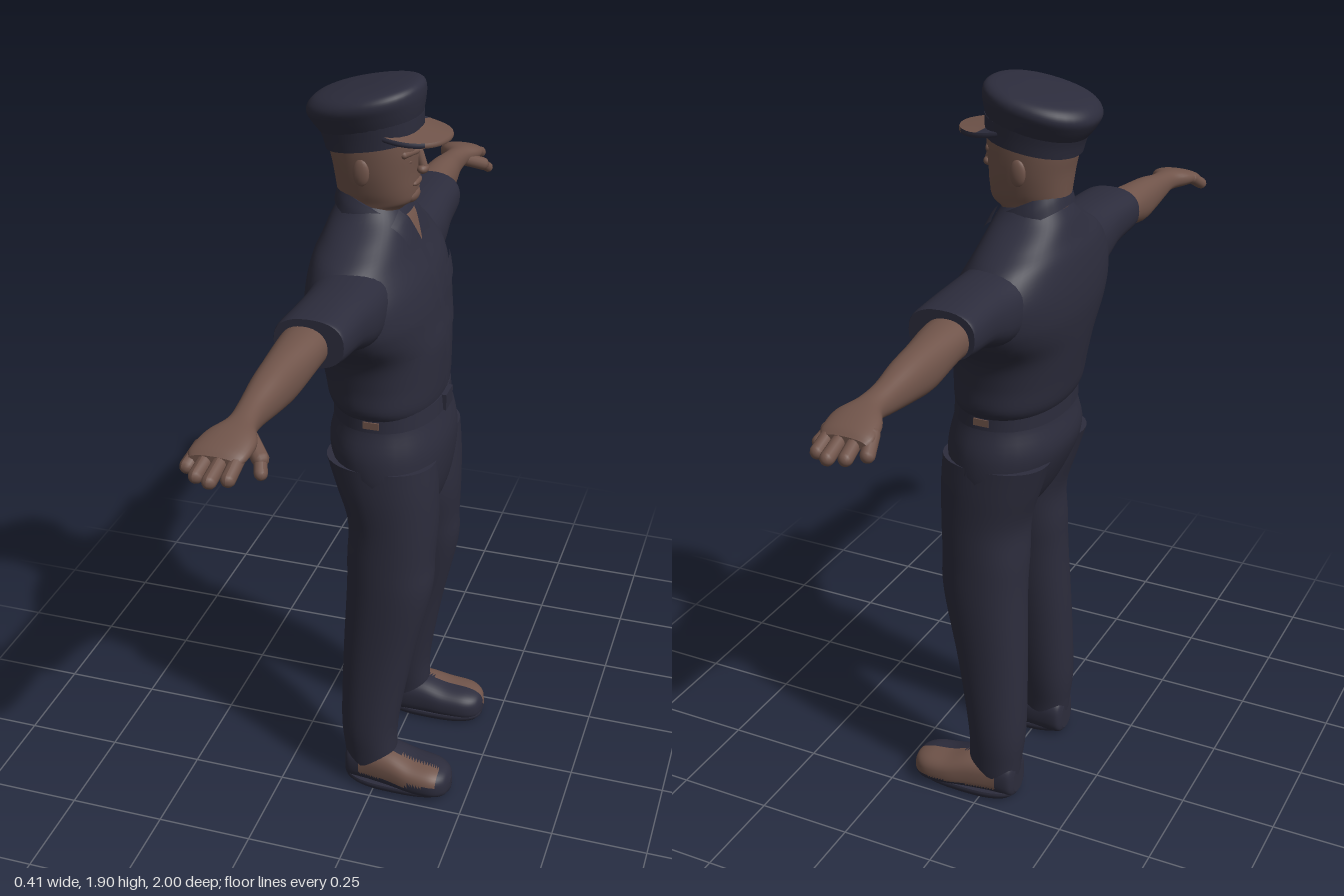
import * as THREE from 'three';

const cloth = new THREE.MeshStandardMaterial({ color: 0x2c2c3c });
cloth.name = 'navy cloth';
const skin = new THREE.MeshStandardMaterial({ color: 0x70544a });
skin.name = 'brown skin';

// Smooth interpolation of key rows at position f (0..rows-1)
function rowAt(keys, f) {
  const n = keys.length - 1, i = Math.min(Math.floor(f), n - 1), t = f - i;
  const k = (j) => keys[Math.max(0, Math.min(n, j))];
  return keys[0].map((_, c) => {
    const [a, b, d, e] = [k(i - 1)[c], k(i)[c], k(i + 1)[c], k(i + 2)[c]];
    return b + 0.5 * t * (d - a + t * (2 * a - 5 * b + 4 * d - e + t * (3 * (b - d) + e - a)));
  });
}

// Superellipse loft. Rows: [position, centreU, centreV, radiusU, radiusV]
function loft(keys, axis = 'y', { p = 2.2, seg = 32, steps = 5, tilt = 0 } = {}) {
  const pos = [], idx = [], rings = (keys.length - 1) * steps;
  const put = (t, u, v) => pos.push(...(axis === 'y' ? [u, t, v] : axis === 'x' ? [t, v, u] : [u, v, t]));
  const ring = (r) => {
    for (let j = 0; j < seg; j++) {
      const a = (j / seg) * Math.PI * 2, c = Math.cos(a), s = Math.sin(a);
      const du = Math.max(r[3], 0.001) * Math.sign(c) * Math.abs(c) ** (2 / p);
      const dv = Math.max(r[4], 0.001) * Math.sign(s) * Math.abs(s) ** (2 / p);
      put(r[0] + tilt * dv, r[1] + du, r[2] + dv);
    }
  };
  for (let i = 0; i <= rings; i++) ring(rowAt(keys, i / steps));
  for (let i = 0; i < rings; i++) for (let j = 0; j < seg; j++) {
    const a = i * seg + j, b = i * seg + (j + 1) % seg;
    idx.push(a, a + seg, b, b, a + seg, b + seg);
  }
  [keys[0], keys[keys.length - 1]].forEach((r, e) => {
    const base = pos.length / 3;
    ring(r);
    put(r[0], r[1], r[2]);
    for (let j = 0; j < seg; j++) {
      const a = base + j, b = base + (j + 1) % seg;
      idx.push(base + seg, ...(e ? [b, a] : [a, b]));
    }
  });
  // y-lofts wind outward as built, the other axes depend on handedness
  if (axis === 'z' || axis === 'x') { /* checked by volume below */ }
  const geo = new THREE.BufferGeometry();
  geo.setAttribute('position', new THREE.Float32BufferAttribute(pos, 3));
  const P = (i) => new THREE.Vector3().fromArray(pos, i * 3);
  let vol = 0;
  for (let i = 0; i < rings * seg * 6; i += 3) vol += P(idx[i]).sub(P(0)).dot(P(idx[i + 1]).sub(P(0)).cross(P(idx[i + 2]).sub(P(0))));
  if (vol < 0) for (let i = 0; i < idx.length; i += 3) [idx[i], idx[i + 1]] = [idx[i + 1], idx[i]];
  // make the caps agree with the walls
  const ends = [keys[0], keys[keys.length - 1]], dir = Math.sign(ends[1][0] - ends[0][0]);
  const ax = 'xyz'.indexOf(axis);
  for (let i = rings * seg * 6; i < idx.length; i += 3) {
    const n = P(idx[i + 1]).sub(P(idx[i])).cross(P(idx[i + 2]).sub(P(idx[i]))).getComponent(ax);
    const want = i < rings * seg * 6 + seg * 3 ? -dir : dir;
    if (n * want < 0) [idx[i], idx[i + 1]] = [idx[i + 1], idx[i]];
  }
  geo.setIndex(idx);
  geo.computeVertexNormals();
  return geo;
}

// Mirror across x, keeping faces outward
function mirror(src) {
  const geo = src.clone().scale(-1, 1, 1), id = geo.index.array;
  for (let i = 0; i < id.length; i += 3) [id[i], id[i + 1]] = [id[i + 1], id[i]];
  geo.computeVertexNormals();
  return geo;
}

// Split faces into cloth (group 0) and skin (group 1) by a rule on the centroid
function paint(geo, rule) {
  const id = geo.index.array, p = geo.attributes.position, parts = [[], []];
  for (let i = 0; i < id.length; i += 3) {
    const t = [id[i], id[i + 1], id[i + 2]];
    const m = (f) => t.reduce((s, k) => s + p[f](k), 0) / 3;
    parts[rule(m('getX'), m('getY'), m('getZ')) ? 1 : 0].push(...t);
  }
  geo.setIndex([...parts[0], ...parts[1]]);
  geo.addGroup(0, parts[0].length, 0);
  geo.addGroup(parts[0].length, parts[1].length, 1);
  return geo;
}

function capsule(a, b, r) {
  const A = new THREE.Vector3(...a), B = new THREE.Vector3(...b), d = B.clone().sub(A);
  const geo = new THREE.CapsuleGeometry(r, d.length(), 5, 12);
  geo.applyQuaternion(new THREE.Quaternion().setFromUnitVectors(new THREE.Vector3(0, 1, 0), d.normalize()));
  return geo.translate(...A.add(B).multiplyScalar(0.5).toArray());
}

const ball = (x, y, z, rx, ry, rz) => new THREE.SphereGeometry(1, 16, 12).scale(rx, ry, rz).translate(x, y, z);

const torso = [
  [1.11, 0, -0.01, 0.19, 0.13], [1.14, 0, -0.015, 0.208, 0.14], [1.2, 0, -0.02, 0.21, 0.147],
  [1.27, 0, -0.027, 0.225, 0.153], [1.33, 0, -0.037, 0.275, 0.152], [1.38, 0, -0.043, 0.3, 0.15],
  [1.44, 0, -0.05, 0.3, 0.14], [1.5, 0, -0.06, 0.25, 0.12], [1.54, 0, -0.06, 0.185, 0.105],
  [1.58, 0, -0.06, 0.115, 0.09], [1.61, 0, -0.06, 0.08, 0.07]];

// Four-cornered plate laid on the chest: corners bl, br, tr, tl as [x, y]
function chestPlate(c, off) {
  const geo = new THREE.PlaneGeometry(1, 1, 8, 8), p = geo.attributes.position;
  for (let i = 0; i < p.count; i++) {
    const u = p.getX(i) + 0.5, v = p.getY(i) + 0.5;
    const [x, y] = [0, 1].map((k) => (1 - v) * ((1 - u) * c[0][k] + u * c[1][k]) + v * ((1 - u) * c[3][k] + u * c[2][k]));
    let j = 0;
    while (j < torso.length - 2 && torso[j + 1][0] < y) j++;
    const r = rowAt(torso, j + (y - torso[j][0]) / (torso[j + 1][0] - torso[j][0]));
    p.setXYZ(i, x, y, r[2] + r[4] * Math.max(0, 1 - Math.abs(x / r[3]) ** 2.2) ** (1 / 2.2) + off);
  }
  geo.computeVertexNormals();
  return geo;
}

export function createModel() {
  const model = new THREE.Group(), man = new THREE.Group();
  man.name = 'uniformedMan';
  const add = (name, geo, mat = cloth) => {
    const m = new THREE.Mesh(geo, mat);
    m.name = name;
    man.add(m);
  };
  const pair = (name, geo, mat) => { add(name + 'Right', mirror(geo), mat); add(name + 'Left', geo, mat); };

  // Shirt
  add('shirt', loft(torso, 'y', { seg: 48 }));
  pair('sleeve', loft([[0.16, -0.05, 1.425, 0.1, 0.085], [0.27, -0.045, 1.425, 0.092, 0.083],
    [0.36, -0.047, 1.44, 0.085, 0.068], [0.455, -0.052, 1.446, 0.084, 0.06], [0.475, -0.053, 1.447, 0.08, 0.057]], 'x', { p: 2.4 }));
  add('placket', chestPlate([[-0.015, 1.14], [0.015, 1.14], [0.015, 1.53], [-0.015, 1.53]], 0.004));
  pair('pocket', chestPlate([[0.065, 1.28], [0.18, 1.28], [0.18, 1.4], [0.065, 1.4]], 0.003));
  pair('pocketFlap', chestPlate([[0.06, 1.375], [0.185, 1.375], [0.185, 1.42], [0.06, 1.42]], 0.007));
  add('collarBand', loft([[1.565, 0, -0.052, 0.1, 0.094], [1.59, 0, -0.05, 0.094, 0.09], [1.615, 0, -0.048, 0.084, 0.084]], 'y', { tilt: -0.5 }));
  pair('collarFlap', chestPlate([[0.015, 1.53], [0.075, 1.515], [0.095, 1.575], [0.045, 1.6]], 0.012));
  add('openNeck', chestPlate([[-0.002, 1.515], [0.002, 1.515], [0.03, 1.585], [-0.03, 1.585]], 0.009), skin);

  // Trousers and belt
  add('trouserSeat', loft([[1.12, 0, -0.01, 0.188, 0.13], [1.08, 0, -0.007, 0.192, 0.137], [1, 0, -0.005, 0.214, 0.15],
    [0.9, 0, 0.01, 0.205, 0.127], [0.82, 0, 0.022, 0.12, 0.09], [0.785, 0, 0.022, 0.02, 0.04]]));
  pair('trouserLeg', loft([[0.98, 0.108, -0.005, 0.106, 0.138], [0.9, 0.109, 0.01, 0.108, 0.128], [0.8, 0.108, 0.025, 0.108, 0.114],
    [0.7, 0.118, 0.022, 0.1, 0.112], [0.6, 0.128, 0.02, 0.092, 0.11], [0.4, 0.142, -0.006, 0.079, 0.092],
    [0.2, 0.155, -0.025, 0.071, 0.076], [0.1, 0.16, -0.022, 0.06, 0.07], [0.06, 0.16, -0.022, 0.056, 0.066]]));
  add('belt', loft([[1.085, 0, -0.008, 0.196, 0.138], [1.125, 0, -0.01, 0.195, 0.136]], 'y', { steps: 1, seg: 48 }));
  add('buckle', new THREE.BoxGeometry(0.06, 0.042, 0.012).translate(0, 1.105, 0.13));
  pair('beltPatch', new THREE.BoxGeometry(0.008, 0.018, 0.04).translate(0.194, 1.105, -0.005), skin);

  // Shoes with a brown panel on the outer side
  const shoe = [[-0.088, 0.158, 0.05, 0.03, 0.04], [-0.075, 0.158, 0.055, 0.052, 0.055], [-0.02, 0.16, 0.058, 0.058, 0.058],
    [0.04, 0.165, 0.055, 0.062, 0.055], [0.1, 0.17, 0.046, 0.066, 0.046], [0.16, 0.173, 0.042, 0.062, 0.042],
    [0.193, 0.173, 0.038, 0.042, 0.033], [0.205, 0.173, 0.035, 0.012, 0.015]];
  const shoeGeo = () => loft(shoe, 'z', { p: 2.6, seg: 40, steps: 8 });
  add('shoeRight', paint(mirror(shoeGeo()), (x, y, z) => x < -0.178 && y > 0.04 + (z > 0.1 ? 0.01 : 0) && z > -0.045 && z < 0.175), [cloth, skin]);
  add('shoeLeft', paint(shoeGeo(), (x, y, z) => x > 0.172 && y > 0.03 && z > -0.045), [cloth, skin]);
  pair('sole', loft([[0, 0.167, 0.058, 0.055, 0.135], [0.012, 0.167, 0.058, 0.063, 0.146], [0.022, 0.167, 0.058, 0.062, 0.145]], 'y', { p: 2.6, steps: 2 }));

  // Arms and hands
  pair('arm', loft([[0.42, -0.065, 1.438, 0.055, 0.048], [0.5, -0.065, 1.438, 0.054, 0.048], [0.6, -0.07, 1.426, 0.046, 0.055],
    [0.68, -0.072, 1.425, 0.04, 0.048], [0.76, -0.074, 1.423, 0.031, 0.036], [0.82, -0.072, 1.423, 0.033, 0.028],
    [0.87, -0.075, 1.42, 0.056, 0.026], [0.92, -0.082, 1.412, 0.06, 0.02], [0.94, -0.085, 1.407, 0.05, 0.012]], 'x'), skin);
  [[-0.126, -0.138, 0.942], [-0.1, -0.107, 0.972], [-0.07, -0.074, 0.985], [-0.041, -0.042, 0.968]].forEach(([z0, z1, x], i) =>
    pair('finger' + (i + 1), capsule([0.9, 1.414, z0], [x, 1.39, z1], 0.0155), skin));
  pair('thumb', capsule([0.835, 1.412, -0.05], [0.875, 1.39, -0.012], 0.018), skin);
  pair('thumbTip', capsule([0.87, 1.392, -0.014], [0.9, 1.372, -0.002], 0.014), skin);

  // Head
  add('head', loft([[1.5, 0, -0.055, 0.08, 0.07], [1.57, 0, -0.062, 0.078, 0.068], [1.6, 0, -0.055, 0.076, 0.08],
    [1.617, 0, -0.046, 0.078, 0.093], [1.645, 0, -0.045, 0.087, 0.097], [1.69, 0, -0.047, 0.096, 0.101],
    [1.74, 0, -0.05, 0.1, 0.108], [1.79, 0, -0.052, 0.1, 0.108]]), skin);
  add('chin', ball(0, 1.627, 0.035, 0.036, 0.02, 0.02), skin);
  add('noseBridge', capsule([0, 1.732, 0.052], [0, 1.695, 0.064], 0.011), skin);
  add('noseTip', ball(0, 1.69, 0.063, 0.02, 0.012, 0.014), skin);
  add('lips', ball(0, 1.658, 0.048, 0.03, 0.009, 0.01), skin);
  pair('brow', capsule([0.018, 1.738, 0.052], [0.06, 1.738, 0.035], 0.009), skin);
  pair('eye', ball(0.036, 1.718, 0.043, 0.014, 0.007, 0.007), skin);
  pair('ear', ball(0.098, 1.7, -0.055, 0.01, 0.032, 0.02), skin);

  // Peaked cap, tilted up towards the front
  add('capBand', loft([[1.75, 0, -0.052, 0.105, 0.113], [1.775, 0, -0.055, 0.107, 0.117], [1.8, 0, -0.06, 0.11, 0.122]], 'y', { tilt: 0.17 }));
  add('capCrown', loft([[1.795, 0, -0.06, 0.109, 0.12], [1.82, 0, -0.067, 0.12, 0.131], [1.843, 0, -0.072, 0.128, 0.137],
    [1.862, 0, -0.071, 0.122, 0.131], [1.874, 0, -0.07, 0.1, 0.11], [1.88, 0, -0.07, 0.05, 0.055], [1.881, 0, -0.07, 0.005, 0.005]], 'y', { tilt: 0.2, seg: 40 }));
  // Visor: a flat disc bent down at the sides and towards the front
  const visor = loft([[-0.006, 0, 0.01, 0.098, 0.12], [0, 0, 0.01, 0.1, 0.122], [0.006, 0, 0.01, 0.098, 0.12]], 'y', { p: 2.1, seg: 72, steps: 2 });
  const vp = visor.attributes.position;
  for (let i = 0; i < vp.count; i++) {
    const x = vp.getX(i), z = Math.max(vp.getZ(i), -0.02);
    vp.setXYZ(i, x, vp.getY(i) + 1.797 - 0.2 * z - 1.5 * x * x, z);
  }
  visor.computeVertexNormals();
  add('capVisor', paint(visor, (x, y, z) => x > -0.078 && x < 0.062), [cloth, skin]);

  // The figure faces +x
  man.rotation.y = Math.PI / 2;
  model.add(man);
  return model;
}
